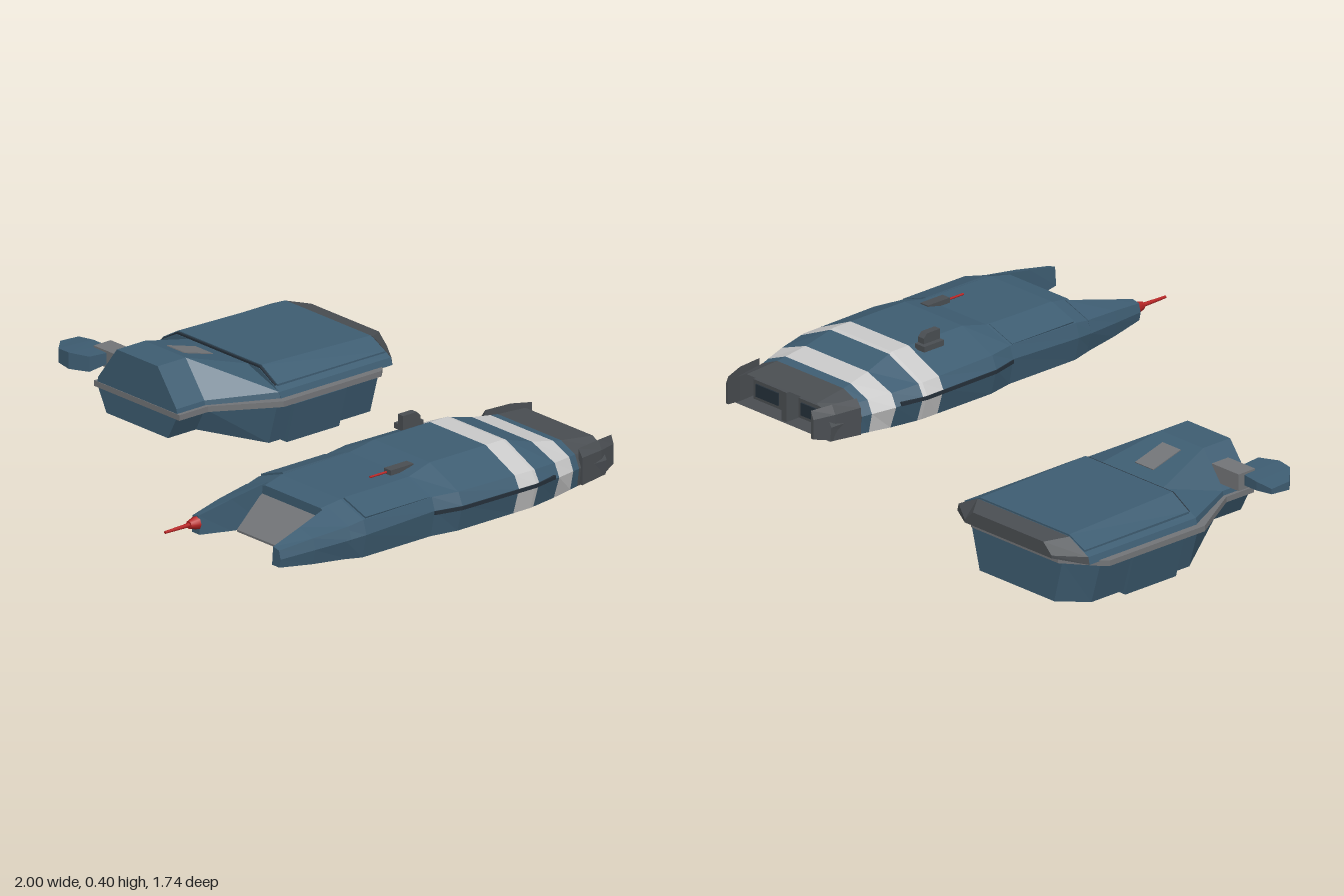
import * as THREE from 'three';

const material = (name, color, extra = {}) => {
  const m = new THREE.MeshStandardMaterial({ color, ...extra });
  m.name = name;
  return m;
};

// Skin closed rings of [x, y] points (counter-clockwise from the front) along rising z
function loft(sections, capBack = true, capFront = true) {
  const v = [];
  const tri = (...pts) => pts.forEach((p) => v.push(...p));
  const rings = sections.map(([z, pts]) => pts.map(([x, y]) => [x, y, z]));
  const n = rings[0].length;
  for (let k = 0; k + 1 < rings.length; k++) {
    for (let i = 0; i < n; i++) {
      const j = (i + 1) % n, A = rings[k], B = rings[k + 1];
      tri(A[i], A[j], B[j]);
      tri(A[i], B[j], B[i]);
    }
  }
  const last = rings[rings.length - 1];
  for (let i = 1; i + 1 < n; i++) {
    if (capBack) tri(rings[0][0], rings[0][i + 1], rings[0][i]);
    if (capFront) tri(last[0], last[i], last[i + 1]);
  }
  const g = new THREE.BufferGeometry();
  g.setAttribute('position', new THREE.Float32BufferAttribute(v, 3));
  g.computeVertexNormals();
  return g;
}

// Mirror a half profile, given as hw, y, hw, y ... from bottom to top
function symmetric(flat) {
  const half = [];
  for (let i = 0; i < flat.length; i += 2) half.push([flat[i], flat[i + 1]]);
  return [...half, ...half.map(([x, y]) => [-x, y]).reverse()];
}
const symLoft = (rows, ...caps) => loft(rows.map(([z, ...f]) => [z, symmetric(f)]), ...caps);
const side = (ring, s) => (s > 0 ? ring : ring.map(([x, y]) => [-x, y]).reverse());

export function createModel() {
  const blue = material('hullBlue', 0x3e5d72);
  const darkGrey = material('darkGrey', 0x4a4e52, { side: THREE.DoubleSide });
  const grey = material('midGrey', 0x737578, { side: THREE.DoubleSide });
  const white = material('stripeWhite', 0xc9c9c9);
  const black = material('recessDark', 0x25303a);
  const red = material('gunRed', 0xb82424);

  const add = (parent, name, geo, mat, x = 0, y = 0, z = 0) => {
    const m = new THREE.Mesh(geo, mat);
    m.name = name;
    m.position.set(x, y, z);
    parent.add(m);
    return m;
  };
  const box = (w, h, d) => new THREE.BoxGeometry(w, h, d);
  const rod = (r0, r1, len) => new THREE.CylinderGeometry(r0, r1, len, 8).rotateX(Math.PI / 2);

  const model = new THREE.Group();
  model.name = 'shipPair';

  // ---- Broad transport ship ----
  const wide = new THREE.Group();
  wide.name = 'transportShip';
  wide.position.x = -0.597;
  model.add(wide);

  add(wide, 'lowerHull', symLoft([
    [-0.83, 0.18, 0.015, 0.22, 0.17],
    [-0.745, 0.27, 0.015, 0.315, 0.17],
    [-0.3, 0.27, 0.015, 0.315, 0.17],
    [-0.08, 0.155, 0.085, 0.2, 0.17],
    [0.043, 0.155, 0.085, 0.2, 0.17],
  ]), blue);
  add(wide, 'bellyPanel', symLoft([
    [-0.6, 0.28, 0.003, 0.32, 0.15],
    [-0.37, 0.28, 0.003, 0.32, 0.15],
  ]), blue);

  add(wide, 'upperHull', symLoft([
    [-0.8, 0.32, 0.18, 0.312, 0.205, 0.22, 0.25],
    [-0.31, 0.32, 0.18, 0.312, 0.205, 0.21, 0.26],
  ]), blue);
  add(wide, 'nose', symLoft([
    [-0.31, 0.32, 0.165, 0.312, 0.205, 0.15, 0.26],
    [-0.08, 0.205, 0.165, 0.198, 0.2, 0.103, 0.325],
    [0.043, 0.205, 0.165, 0.198, 0.2, 0.103, 0.325],
  ]), blue);
  add(wide, 'roofPanel', symLoft([
    [-0.795, 0.29, 0.2, 0.29, 0.222, 0.215, 0.256],
    [-0.32, 0.29, 0.2, 0.29, 0.224, 0.21, 0.27],
  ]), blue);
  add(wide, 'roofPanelEdge', symLoft([
    [-0.32, 0.285, 0.2, 0.285, 0.222, 0.208, 0.267],
    [-0.312, 0.285, 0.2, 0.285, 0.222, 0.208, 0.267],
  ]), black);
  add(wide, 'tailSlope', symLoft([
    [-0.87, 0.21, 0.19, 0.21, 0.2, 0.17, 0.238],
    [-0.8, 0.32, 0.18, 0.314, 0.206, 0.222, 0.252],
  ]), darkGrey);

  // Rim running round the waist
  const rimHalf = [[0.215, 0.045], [0.215, -0.08], [0.345, -0.3], [0.345, -0.73], [0.315, -0.76], [0.21, -0.84]];
  const rimPts = [...rimHalf, ...rimHalf.map(([x, z]) => [-x, z]).reverse()];
  const rimShape = new THREE.Shape(rimPts.map(([x, z]) => new THREE.Vector2(x, -z)));
  const rim = new THREE.ExtrudeGeometry(rimShape, { depth: 0.02, bevelEnabled: false }).rotateX(-Math.PI / 2);
  add(wide, 'waistRim', rim, grey, 0, 0.164, 0);

  const hatch = add(wide, 'noseHatch', box(0.088, 0.009, 0.13), grey, 0, 0.293, -0.188);
  hatch.rotation.x = -Math.atan(0.065 / 0.23);

  // Side cockpit pod and its connector
  add(wide, 'podConnector', box(0.13, 0.06, 0.075), grey, -0.205, 0.25, 0.04 - 0.078);
  const podSection = (x, h, z0, z1) => [x, [[z0, 0.252 - h * 0.6], [z1, 0.252 - h], [z1, 0.25 + h], [z0, 0.25 + h * 0.7]]];
  const pod = loft([
    podSection(0.205, 0.028, -0.03, 0.075),
    podSection(0.275, 0.03, -0.05, 0.105),
    podSection(0.335, 0.026, -0.055, 0.098),
    podSection(0.403, 0.016, -0.05, 0.03),
  ]);
  add(wide, 'cockpitPod', pod.rotateY(-Math.PI / 2), blue);

  // ---- Slender fork-nosed ship ----
  const slim = new THREE.Group();
  slim.name = 'forkNosedShip';
  slim.position.x = 0.69;
  model.add(slim);

  const keys = [
    [-0.69, 0.235, 0.168, 0.24, 0.22, 0.22, 0.26, 0.17, 0.287],
    [-0.56, 0.24, 0.16, 0.25, 0.225, 0.23, 0.27, 0.16, 0.3],
    [-0.44, 0.26, 0.155, 0.288, 0.235, 0.265, 0.28, 0.15, 0.322],
    [-0.32, 0.28, 0.155, 0.31, 0.25, 0.287, 0.29, 0.14, 0.357],
    [0, 0.28, 0.155, 0.305, 0.25, 0.285, 0.295, 0.14, 0.357],
    [0.1, 0.26, 0.155, 0.28, 0.25, 0.265, 0.295, 0.15, 0.335],
    [0.4, 0.26, 0.155, 0.28, 0.24, 0.265, 0.29, 0.15, 0.33],
    [0.48, 0.25, 0.165, 0.27, 0.235, 0.255, 0.275, 0.14, 0.315],
  ];
  const rowAt = (z) => {
    let i = 0;
    while (i < keys.length - 2 && keys[i + 1][0] < z) i++;
    const a = keys[i], b = keys[i + 1], t = (z - a[0]) / (b[0] - a[0]);
    return a.map((v, k) => v + (b[k] - v) * t);
  };
  const hullSlice = (name, z0, z1, mat, back = false, front = false) => {
    const rows = [rowAt(z0), ...keys.filter(([z]) => z > z0 + 1e-4 && z < z1 - 1e-4), rowAt(z1)];
    add(slim, name, symLoft(rows, back, front), mat);
  };
  hullSlice('engineShroud', -0.69, -0.56, darkGrey);
  hullSlice('tailHull', -0.56, -0.525, blue, true);
  hullSlice('rearStripe', -0.525, -0.44, white);
  hullSlice('rearHull', -0.44, -0.335, blue);
  hullSlice('frontStripe', -0.335, -0.245, white);
  hullSlice('mainHull', -0.245, 0.48, blue, false, true);

  // Engine bay: dark back wall, two framed nozzles and a divider
  add(slim, 'engineWall', box(0.42, 0.1, 0.01), black, 0, 0.22, -0.6);
  add(slim, 'engineDivider', box(0.025, 0.105, 0.08), darkGrey, 0, 0.22, -0.64);
  for (const s of [1, -1]) {
    add(slim, 'engineNozzle', box(0.14, 0.07, 0.05), darkGrey, s * 0.11, 0.22, -0.625);
    add(slim, 'nozzleMouth', box(0.11, 0.045, 0.006), black, s * 0.11, 0.22, -0.652);

    // Tail fins leaning inward
    add(slim, 'tailFin', loft([
      [-0.745, side([[0.2, 0.185], [0.212, 0.185], [0.212, 0.255], [0.2, 0.285]], s)],
      [-0.67, side([[0.222, 0.168], [0.238, 0.168], [0.238, 0.26], [0.222, 0.292]], s)],
      [-0.57, side([[0.235, 0.165], [0.255, 0.165], [0.255, 0.262], [0.235, 0.29]], s)],
    ]), darkGrey);

    // Nose prongs
    add(slim, 'noseProng', loft([
      [0.46, side([[0.155, 0.163], [0.252, 0.163], [0.273, 0.236], [0.259, 0.28], [0.15, 0.319]], s)],
      [0.6, side([[0.17, 0.175], [0.238, 0.175], [0.25, 0.228], [0.24, 0.267], [0.172, 0.287]], s)],
      [0.73, side([[0.183, 0.19], [0.22, 0.19], [0.226, 0.22], [0.218, 0.25], [0.188, 0.256]], s)],
    ]), blue);

    // Shoulder access panels
    const panel = add(slim, 'shoulderPanel', box(0.116, 0.009, 0.28), blue, s * 0.208, 0.312, 0.25);
    panel.rotation.z = -s * Math.atan(0.04 / 0.115);

    // Long dark slot along each flank
    const slot = [-0.42, -0.32, 0, 0.1].map((z) => {
      const w = rowAt(z)[3] + 0.003;
      return [z, side([[w - 0.03, 0.236], [w, 0.236], [w, 0.249], [w - 0.03, 0.249]], s)];
    });
    add(slim, 'flankSlot', loft(slot), black);
  }

  // Loading ramp between the prongs
  add(slim, 'ramp', loft([
    [0.475, symmetric([0.158, 0.278, 0.158, 0.286])],
    [0.605, symmetric([0.138, 0.183, 0.138, 0.19])],
  ]), grey);

  // Sensor mast
  add(slim, 'mastBase', box(0.045, 0.02, 0.09), darkGrey, -0.178, 0.355, -0.185);
  add(slim, 'mast', loft([
    [-0.215, side([[0.155, 0.35], [0.182, 0.35], [0.182, 0.385], [0.155, 0.385]], -1)],
    [-0.2, side([[0.155, 0.35], [0.182, 0.35], [0.182, 0.4], [0.155, 0.4]], -1)],
    [-0.14, side([[0.155, 0.35], [0.182, 0.35], [0.182, 0.4], [0.155, 0.4]], -1)],
  ]), darkGrey);

  // Roof gun
  add(slim, 'roofGunMount', box(0.035, 0.025, 0.1), darkGrey, 0.087, 0.34, 0.09);
  add(slim, 'roofGunBarrel', rod(0.004, 0.004, 0.09), red, 0.082, 0.341, 0.167);

  // Prong cannon
  add(slim, 'cannonBase', rod(0.014, 0.024, 0.035), red, -0.2, 0.228, 0.745);
  add(slim, 'cannonBarrel', rod(0.005, 0.008, 0.11), red, -0.2, 0.228, 0.812);

  return model;
}
